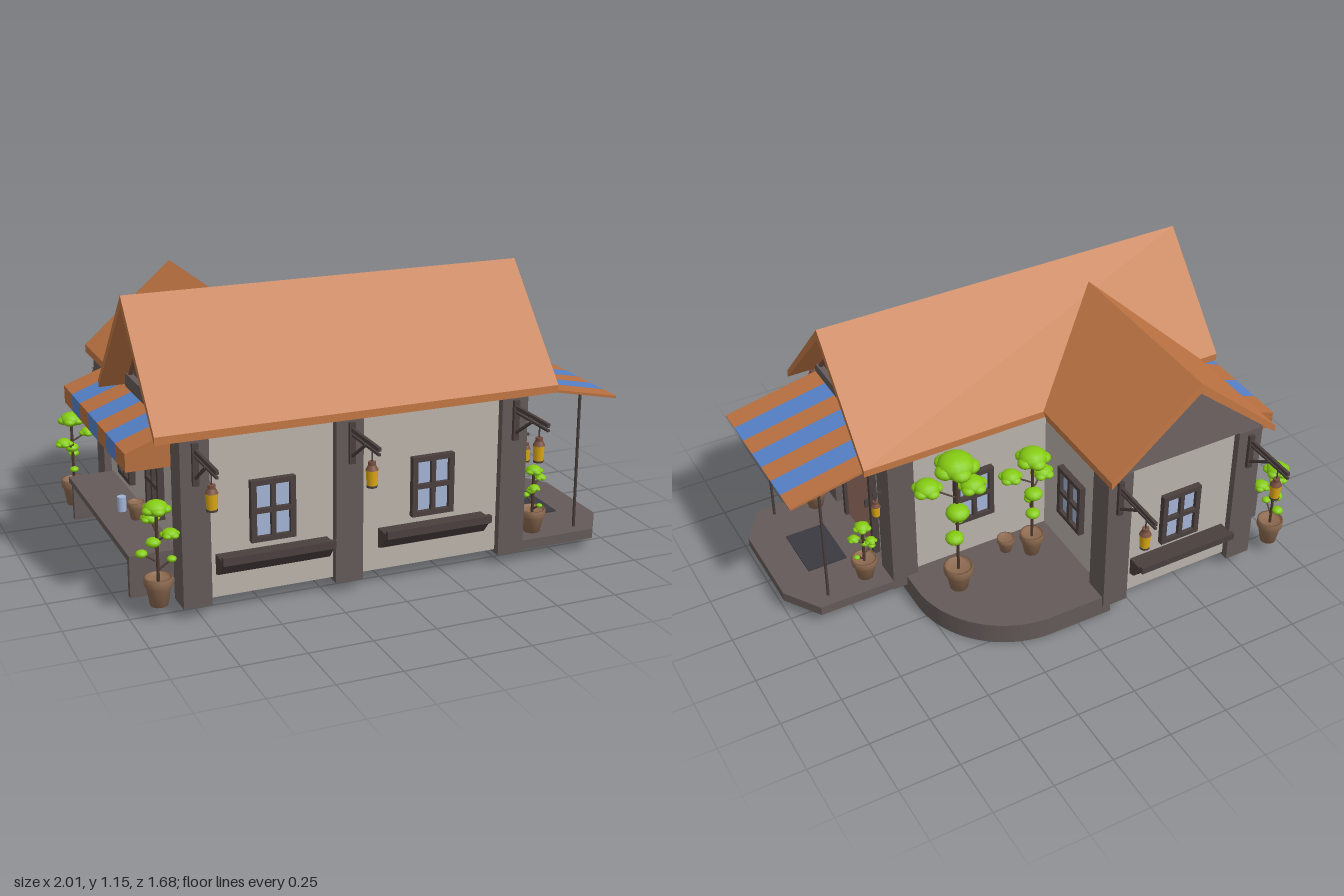
import * as THREE from 'three';

const C = { wall: 0xbab3ab, stone: 0x645a59, wood: 0x4a403e, roof: 0xc27744, brown: 0x7a5140, blue: 0x5580c6, orange: 0xb87040,
  glass: 0xa3b4d6, door: 0x9c7265, pot: 0x8d6a50, leaf: 0x86cc12, yellow: 0xe0aa14, mat: 0x3a3a40, stem: 0x4d3a30 };
const mats = {};
const mat = c => mats[c] ??= new THREE.MeshStandardMaterial({ color: C[c], side: THREE.DoubleSide });

function add(parent, name, geo, color, x = 0, y = 0, z = 0) {
  const m = new THREE.Mesh(geo, mat(color));
  m.name = name;
  m.position.set(x, y, z);
  parent.add(m);
  return m;
}
function group(parent, name, x = 0, y = 0, z = 0, ry = 0) {
  const g = new THREE.Group();
  g.name = name;
  g.position.set(x, y, z);
  g.rotation.y = ry;
  parent.add(g);
  return g;
}
// box given by its min and max on each axis
function box(parent, name, color, x0, x1, y0, y1, z0, z1) {
  return add(parent, name, new THREE.BoxGeometry(x1 - x0, y1 - y0, z1 - z0), color, (x0 + x1) / 2, (y0 + y1) / 2, (z0 + z1) / 2);
}
const poly = pts => new THREE.Shape(pts.map(p => new THREE.Vector2(...p)));
const extrude = (shape, depth) => new THREE.ExtrudeGeometry(shape, { depth, bevelEnabled: false, curveSegments: 16 });
// flat slab from a plan outline in (x, z)
const slab = (shape, h) => extrude(shape, h).rotateX(Math.PI / 2).translate(0, h, 0);
function rod(parent, name, color, a, b, r) {
  const A = new THREE.Vector3(...a), B = new THREE.Vector3(...b), d = B.clone().sub(A);
  const m = add(parent, name, new THREE.CylinderGeometry(r, r, d.length(), 6), color);
  m.position.copy(A).add(B).multiplyScalar(0.5);
  m.quaternion.setFromUnitVectors(new THREE.Vector3(0, 1, 0), d.normalize());
}

// gabled roof profile with thickness
const chevron = (w, top, eave) => poly([[-w, eave], [-w, eave - 0.03], [0, top - 0.045], [w, eave - 0.03], [w, eave], [0, top]]);

// four-pane window facing +z
function windowUnit(parent, x, y, z, ry) {
  const g = group(parent, 'window', x, y, z, ry), w = 0.0875, h = 0.12;
  const s = poly([[-w, -h], [w, -h], [w, h], [-w, h]]);
  for (const i of [-1, 1]) for (const j of [-1, 1]) {
    const a = i * 0.009, b = i * 0.066, c = j * 0.009, d = j * 0.1;
    s.holes.push(poly([[a, c], [a, d], [b, d], [b, c]]));
  }
  add(g, 'windowFrame', extrude(s, 0.035), 'wood', 0, 0, -0.01);
  box(g, 'windowGlass', 'glass', -0.075, 0.075, -0.11, 0.11, -0.005, 0.008);
}

// planter under a window, tapering to the wall
function windowBox(parent, x, z, ry) {
  const g = group(parent, 'windowBox', x, 0, z, ry);
  const p = poly([[0, 0.15], [0.03, 0.16], [0.075, 0.215], [0.09, 0.215], [0.09, 0.245], [0.07, 0.245], [0.07, 0.23], [0, 0.23]]);
  add(g, 'planter', extrude(p, 0.44).rotateY(-Math.PI / 2).translate(0.22, 0, 0), 'wood');
}

function lantern(parent, x, y, z, s = 1) {
  const g = group(parent, 'lantern', x, y, z);
  g.scale.setScalar(s);
  const part = (n, c, r0, r1, h, yy) => add(g, n, new THREE.CylinderGeometry(r0, r1, h, 10), c, 0, yy, 0);
  part('lanternBase', 'wood', 0.02, 0.02, 0.008, 0.004);
  part('lanternGlass', 'yellow', 0.023, 0.019, 0.06, 0.037);
  part('lanternCap', 'brown', 0.015, 0.024, 0.018, 0.075);
  part('lanternCrown', 'brown', 0.014, 0.014, 0.015, 0.09);
  part('lanternHook', 'wood', 0.003, 0.003, 0.06, 0.12);
}

// long wall bracket with a hanging lantern
function bracket(parent, x, z, ry) {
  const g = group(parent, 'lanternBracket', x, 0, z, ry);
  box(g, 'bracketPlate', 'wood', -0.012, 0.012, 0.52, 0.68, 0, 0.015);
  box(g, 'bracketArm', 'wood', -0.006, 0.006, 0.645, 0.66, 0, 0.25);
  box(g, 'bracketLowerArm', 'wood', -0.005, 0.005, 0.628, 0.637, 0, 0.25);
  rod(g, 'bracketBrace', 'wood', [0, 0.55, 0.01], [0, 0.632, 0.13], 0.007);
  lantern(g, 0, 0.49, 0.185);
}

function pot(parent, x, y, z, r, h) {
  const pts = [[0, 0], [0.62 * r, 0], [0.88 * r, 0.72 * h], [r, 0.72 * h], [r, h], [0.85 * r, h], [0.82 * r, 0.85 * h], [0, 0.85 * h]];
  add(parent, 'pot', new THREE.LatheGeometry(pts.map(p => new THREE.Vector2(...p)), 14), 'pot', x, y, z);
}

// potted tree with flattened leaf clumps on short branches
const CLUMPS = [[0, 0.92, 0, 0.11], [0.14, 0.77, 0.09, 0.075], [-0.13, 0.7, 0.02, 0.075], [0.02, 0.6, -0.03, 0.07], [0.1, 0.5, -0.1, 0.055], [-0.08, 0.42, 0.1, 0.045]];
function plant(parent, x, y, z, H, r, h, ry = 0) {
  const g = group(parent, 'pottedTree', x, y, z, ry);
  pot(g, 0, 0, 0, r, h);
  rod(g, 'trunk', 'stem', [0, h * 0.8, 0], [0, H * 0.9, 0], 0.006);
  CLUMPS.forEach(([cx, cy, cz, cr], k) => {
    const c = [cx * H, cy * H, cz * H], R = cr * H;
    if (k) rod(g, 'branch', 'stem', [0, c[1] - 0.09 * H, 0], c, 0.004);
    const ball = (bx, by, bz, br) => add(g, 'leafClump', new THREE.SphereGeometry(br, 12, 8), 'leaf', bx, by, bz).scale.set(1, 0.65, 1);
    ball(c[0], c[1], c[2], R);
    if (k < 3) for (let i = 0; i < 5; i++) {
      const a = i * Math.PI * 0.4 + k;
      ball(c[0] + Math.cos(a) * R * 0.7, c[1] - R * 0.12, c[2] + Math.sin(a) * R * 0.7, R * 0.55);
    }
  });
}

export function createModel() {
  const m = new THREE.Group();
  m.name = 'cottage';
  const Q = Math.PI / 2;

  // walls and corner pillars
  box(m, 'mainWalls', 'wall', -0.79, 0.55, 0.06, 0.755, -0.06, 0.56);
  box(m, 'wingWalls', 'wall', -0.79, -0.14, 0.06, 0.73, -0.56, 0);
  for (const [x, z] of [[-0.765, 0.535], [-0.165, 0.535], [0.525, 0.535], [0.525, -0.035], [-0.765, -0.535], [-0.165, -0.535]])
    box(m, 'pillar', 'stone', x - 0.055, x + 0.055, 0.045, 0.7, z - 0.055, z + 0.055);

  // main roof, and wing roof cut back along the valleys
  add(m, 'mainRoof', extrude(chevron(0.375, 1.15, 0.73), 1.61).translate(0, 0, -0.92).rotateY(Q), 'roof', 0, 0, 0.25);
  const wing = extrude(chevron(0.375, 1.06, 0.73), 0.8), p = wing.attributes.position;
  for (let i = 0; i < p.count; i++) p.setZ(i, p.getZ(i) < 0.1 ? -0.64 : 0.25 - (1.15 - p.getY(i)) / 1.12);
  wing.computeVertexNormals();
  add(m, 'wingRoof', wing, 'roof', -0.465, 0, 0);

  // timbered end gables with round windows
  for (const [x, ry] of [[0.55, Q], [-0.79, -Q]]) {
    const g = group(m, 'gable', x, 0, 0.25, ry);
    add(g, 'gableWall', extrude(poly([[-0.335, 0.72], [0.335, 0.72], [0, 1.095]]), 0.02), 'stone', 0, 0, -0.01);
    box(g, 'gableBeam', 'stone', -0.33, 0.33, 0.705, 0.76, 0, 0.035);
    for (const s of [-1, 1]) {
      box(g, 'gablePost', 'brown', s * 0.137 - 0.011, s * 0.137 + 0.011, 0.76, 0.95, 0, 0.026);
      rod(g, 'gableRafter', 'brown', [s * 0.31, 0.752, 0.02], [0, 1.09, 0.02], 0.01);
    }
    add(g, 'roundWindowRing', new THREE.TorusGeometry(0.068, 0.014, 8, 28), 'blue', 0, 0.9, 0.025);
    add(g, 'roundWindowGlass', new THREE.CylinderGeometry(0.062, 0.062, 0.02, 28).rotateX(Q), 'glass', 0, 0.9, 0.015);
  }

  // overlapping boards on the wing gable
  for (let i = 0; i < 6; i++) {
    const y0 = 0.705 + i * 0.05, y1 = y0 + 0.05, w = y => Math.max(0.004, Math.min(0.35, (1.02 - y) / 0.88));
    const board = add(m, 'gableBoard', extrude(poly([[-w(y0), y0], [w(y0), y0], [w(y1), y1], [-w(y1), y1]]).clone(), 0.02).translate(0, -y0, 0), 'stone', -0.465, y0, -0.59);
    board.rotation.x = 0.25;
  }

  // windows and planters
  for (const x of [-0.465, 0.185]) {
    windowUnit(m, x, 0.38, 0.56, 0);
    windowBox(m, x, 0.56, 0);
  }
  windowUnit(m, -0.465, 0.38, -0.56, Math.PI);
  windowBox(m, -0.465, -0.565, Math.PI);
  windowUnit(m, -0.14, 0.38, -0.29, Q);
  windowUnit(m, 0.2, 0.38, -0.06, Math.PI);
  for (const z of [-0.2, 0.2]) windowUnit(m, -0.79, 0.4, z, -Q);

  // door
  const d = group(m, 'door', 0.55, 0, 0.25, Q);
  const frame = poly([[-0.15, 0.09], [-0.15, 0.58], [0.15, 0.58], [0.15, 0.09], [0.13, 0.09], [0.13, 0.56], [-0.13, 0.56], [-0.13, 0.09]]);
  add(d, 'doorFrame', extrude(frame, 0.03), 'wood');
  box(d, 'doorLeaf', 'door', -0.13, 0.13, 0.09, 0.56, 0, 0.015);
  box(d, 'doorHandle', 'wood', 0.095, 0.103, 0.305, 0.345, 0.015, 0.035);

  // porch with cut corners, mat, posts and striped awning
  add(m, 'porchFloor', slab(poly([[0.5, 0.59], [0.9, 0.59], [1, 0.44], [1, 0.06], [0.9, -0.09], [0.5, -0.09]]), 0.04), 'stone', 0, 0.05, 0);
  box(m, 'doorMat', 'mat', 0.69, 0.86, 0.09, 0.096, 0.13, 0.37);
  for (const z of [0.535, -0.035]) rod(m, 'awningPost', 'wood', [0.845, 0.09, z], [0.845, 0.665, z], 0.006);
  for (let i = 0; i < 7; i++) {
    const s = add(m, 'awningStripe', new THREE.BoxGeometry(0.415, 0.01, 0.0957), i % 2 ? 'blue' : 'orange', 0.78, 0.675, -0.042 + i * 0.0957);
    s.rotation.z = -0.205;
  }

  // serving awning with valance on the left side
  const shell = [[-0.79, 0.69], [-0.98, 0.62], [-0.98, 0.55], [-0.97, 0.55], [-0.97, 0.613], [-0.79, 0.68]];
  for (let i = 0; i < 7; i++)
    add(m, 'servingAwningStripe', extrude(poly(shell), 0.1293), i % 2 ? 'blue' : 'orange', 0, 0, -0.455 + i * 0.1293);
  for (const z of [-0.454, 0.439])
    add(m, 'servingAwningCheek', extrude(poly([[-0.79, 0.685], [-0.975, 0.617], [-0.975, 0.55], [-0.79, 0.55]]), 0.01), 'orange', 0, 0, z);

  // serving counter
  box(m, 'counterTop', 'stone', -0.98, -0.78, 0.2, 0.225, -0.455, 0.45);
  for (const z of [-0.43, 0.405])
    add(m, 'counterSupport', extrude(poly([[-0.975, 0.2], [-0.975, 0.05], [-0.9, 0.05], [-0.79, 0.12], [-0.79, 0.2]]), 0.025), 'stone', 0, 0, z);
  pot(m, -0.85, 0.225, 0.1, 0.035, 0.07);
  add(m, 'counterJar', new THREE.CylinderGeometry(0.018, 0.018, 0.06, 10), 'glass', -0.88, 0.255, 0);

  // rounded back terrace
  const t = new THREE.Shape();
  t.moveTo(-0.15, 0.06);
  t.lineTo(0.52, 0.06);
  t.lineTo(0.52, -0.18);
  t.absellipse(0.12, -0.18, 0.4, 0.4, 0, -Q, true);
  t.lineTo(-0.15, -0.58);
  add(m, 'terrace', slab(t, 0.09), 'stone');

  // lanterns
  for (const x of [-0.765, -0.16, 0.525]) bracket(m, x, 0.59, 0);
  for (const x of [-0.765, -0.16]) bracket(m, x, -0.59, Math.PI);
  for (const z of [0.535, -0.025]) {
    box(m, 'porchLanternArm', 'wood', 0.575, 0.62, 0.508, 0.518, z - 0.005, z + 0.005);
    lantern(m, 0.61, 0.4, z, 0.8);
  }

  // plants
  plant(m, 0.36, 0.09, -0.24, 0.68, 0.06, 0.11, 0.2);
  plant(m, 0, 0.09, -0.2, 0.54, 0.05, 0.1, 0.3);
  pot(m, 0.09, 0.09, -0.14, 0.037, 0.065);
  plant(m, 0.665, 0.09, 0.51, 0.28, 0.053, 0.095, 1);
  plant(m, 0.665, 0.09, 0, 0.28, 0.053, 0.095, 2.5);
  plant(m, -0.895, 0.055, 0.53, 0.41, 0.054, 0.11, 2.2);
  plant(m, -0.93, 0.055, -0.58, 0.41, 0.054, 0.11, 0.5);
  return m;
}
